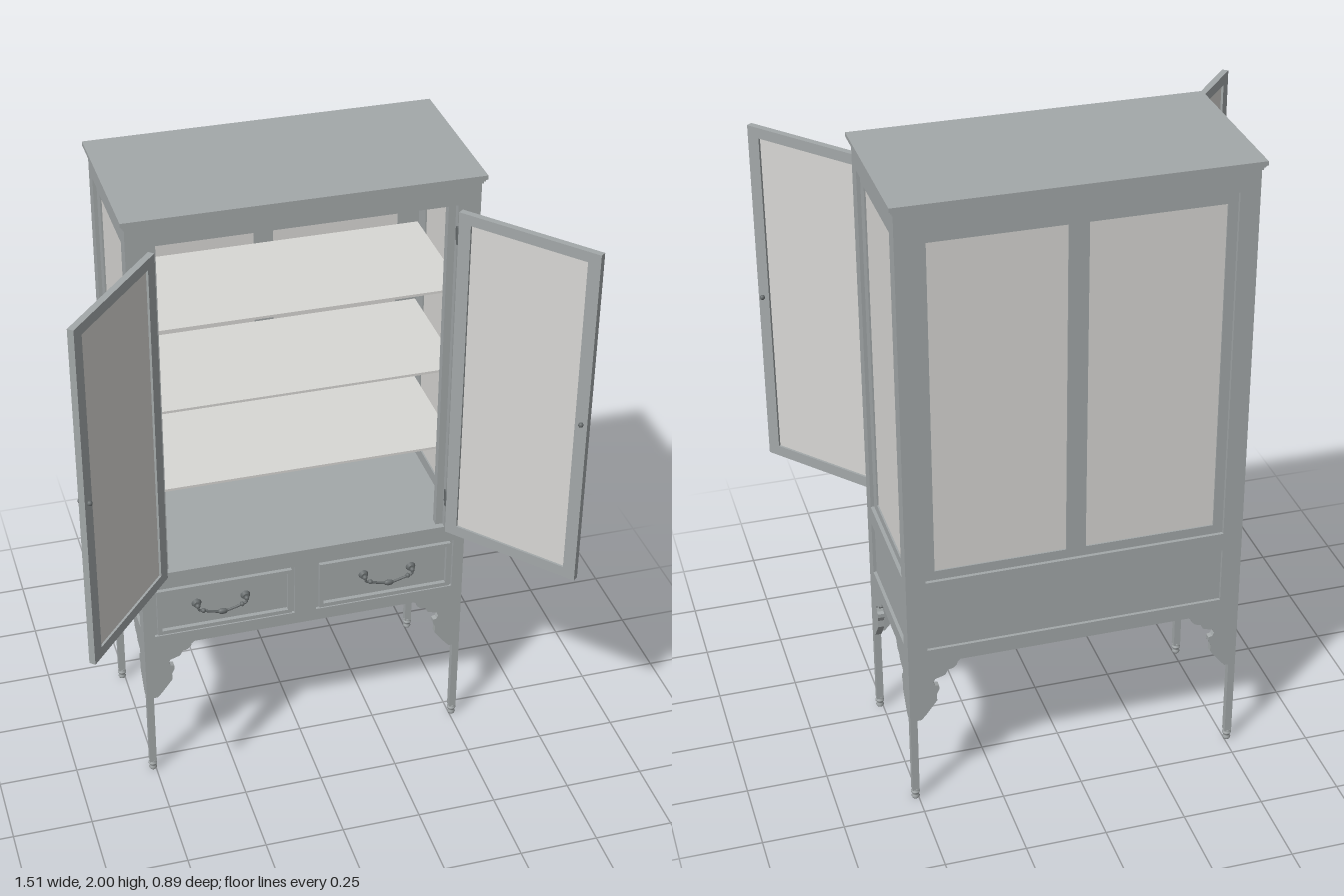
import * as THREE from 'three';

const wood = new THREE.MeshStandardMaterial({ color: 0xa3a8a9 });
wood.name = 'grey wood';
const glass = new THREE.MeshStandardMaterial({ color: 0xd8d7d4 });
glass.name = 'pale glass';
const metal = new THREE.MeshStandardMaterial({ color: 0x666b6c });
metal.name = 'dark metal';

const HX = 0.52, HZ = 0.25; // half width and half depth of the carcass

function add(parent, name, geometry, material, x = 0, y = 0, z = 0) {
  const mesh = new THREE.Mesh(geometry, material);
  mesh.name = name;
  mesh.position.set(x, y, z);
  parent.add(mesh);
  return mesh;
}

// Box given by its limits
function slab(parent, name, material, x0, x1, y0, y1, z0, z1) {
  return add(parent, name, new THREE.BoxGeometry(x1 - x0, y1 - y0, z1 - z0), material,
    (x0 + x1) / 2, (y0 + y1) / 2, (z0 + z1) / 2);
}

function rect(x0, x1, y0, y1) {
  return [[x0, y0], [x1, y0], [x1, y1], [x0, y1]].map(([x, y]) => new THREE.Vector2(x, y));
}

// Flat board with rectangular holes
function board(points, holes, depth) {
  const shape = new THREE.Shape(points);
  holes.forEach(h => shape.holes.push(new THREE.Path(rect(...h))));
  return new THREE.ExtrudeGeometry(shape, { depth, bevelEnabled: false });
}

// Scrolled bracket: distance in from the corner, height
const BRACKET = [[0.035, 0.298], [0.05, 0.315], [0.085, 0.362], [0.084, 0.385], [0.092, 0.402],
  [0.092, 0.415], [0.08, 0.418], [0.075, 0.43], [0.08, 0.442], [0.092, 0.445], [0.112, 0.452],
  [0.12, 0.468], [0.137, 0.472], [0.148, 0.482], [0.15, 0.492], [0.16, 0.5]];

// Wall outline with a bracket hanging at both lower corners
function wallOutline(half, trim) {
  const right = [[trim, 1.975], [trim, 0.298], ...BRACKET].map(([d, y]) => [half - d, y]);
  const left = right.slice().reverse().map(([x, y]) => [-x, y]);
  return [...right, ...left].map(([x, y]) => new THREE.Vector2(x, y));
}

// Framed wall facing +z, with recessed glazing
function glazedWall(name, half, trim, open, panes) {
  const wall = new THREE.Group();
  wall.name = name;
  add(wall, 'outerFrame', board(wallOutline(half, trim),
    [[-open, open, 0.79, 1.91], [-open, open, 0.55, 0.73]], 0.02), wood, 0, 0, -0.02);
  add(wall, 'innerFrame', board(rect(-open - 0.01, open + 0.01, 0.775, 1.93),
    panes.map(([a, b]) => [a, b, 0.82, 1.875]), 0.014), wood, 0, 0, -0.025);
  panes.forEach(([a, b]) => slab(wall, 'glassPane', glass, a - 0.004, b + 0.004, 0.816, 1.879, -0.02, -0.016));
  return wall;
}

// Swinging bail pull with two rosettes
function drawerPull(parent, cx) {
  const pull = new THREE.Group();
  pull.name = 'drawerPull';
  pull.position.set(cx, 0.64, HZ);
  parent.add(pull);
  for (const s of [-1, 1]) {
    add(pull, 'rosette', new THREE.CylinderGeometry(0.011, 0.016, 0.012, 12), metal, s * 0.078, 0, -0.004)
      .rotation.x = Math.PI / 2;
    add(pull, 'post', new THREE.SphereGeometry(0.008, 10, 8), metal, s * 0.078, 0, 0.008);
    add(pull, 'bailKnuckle', new THREE.SphereGeometry(0.008, 10, 8), metal, s * 0.062, -0.016, 0.013);
  }
  const curve = new THREE.CatmullRomCurve3([[-0.078, 0], [-0.076, -0.012], [-0.06, -0.018], [-0.035, -0.026], [0, -0.033],
    [0.035, -0.026], [0.06, -0.018], [0.076, -0.012], [0.078, 0]].map(([x, y]) => new THREE.Vector3(x, y, 0.012)));
  add(pull, 'bail', new THREE.TubeGeometry(curve, 32, 0.004, 6), metal);
  add(pull, 'bailDrop', new THREE.SphereGeometry(0.01, 10, 8), metal, 0, -0.032, 0.012).scale.set(1.7, 1, 0.8);
}

// Open glazed door, hinged at one side (s = 1 is the model's left)
function door(parent, s) {
  const group = new THREE.Group();
  group.name = s > 0 ? 'leftDoor' : 'rightDoor';
  group.position.set(s * 0.451, 0, 0.089);
  group.rotation.y = s > 0 ? -0.868 : Math.PI + 0.868;
  parent.add(group);
  add(group, 'doorFrame', board(rect(0, 0.455, 0.785, 1.905), [[0.04, 0.415, 0.82, 1.872]], 0.02), wood, 0, 0, -0.01);
  slab(group, 'doorGlass', glass, 0.036, 0.419, 0.816, 1.876, -0.003, 0.003);
  for (const side of [-1, 1]) {
    add(group, 'doorKnob', new THREE.SphereGeometry(0.008, 10, 8), metal, 0.437, 1.345, side * 0.015);
  }
  for (const y of [0.9, 1.82]) {
    add(parent, 'hingeBarrel', new THREE.CylinderGeometry(0.007, 0.007, 0.055, 10), metal, s * 0.451, y, 0.078);
    slab(parent, 'hingeLeaf', metal, s * 0.458 - 0.01, s * 0.458 + 0.01, y - 0.022, y + 0.022, 0.06, 0.075);
  }
}

export function createModel() {
  const model = new THREE.Group();
  model.name = 'displayCabinet';
  const body = new THREE.Group();
  body.name = 'carcass';
  body.position.z = -0.185;
  model.add(body);

  // Front frame with door and drawer openings
  add(body, 'frontFrame', board(wallOutline(HX, 0), [[-0.452, 0.452, 0.78, 1.91],
    [-0.485, -0.035, 0.542, 0.722], [0.035, 0.485, 0.542, 0.722]], 0.02), wood, 0, 0, HZ - 0.02);

  // Back and side walls
  const back = glazedWall('backWall', HX, 0, 0.46, [[-0.43, -0.03], [0.03, 0.43]]);
  back.position.z = -HZ;
  back.rotation.y = Math.PI;
  body.add(back);
  for (const s of [-1, 1]) {
    const side = glazedWall(s > 0 ? 'leftWall' : 'rightWall', HZ, 0.02, 0.198, [[-0.155, 0.155]]);
    side.position.x = s * HX;
    side.rotation.y = s * Math.PI / 2;
    body.add(side);
    slab(body, 'doorPost', wood, s * 0.465 - 0.035, s * 0.465 + 0.035, 0.78, 1.96, HZ - 0.045, HZ - 0.02);
  }

  // Drawer case, ceiling and stepped cornice
  slab(body, 'drawerCase', wood, -HX + 0.01, HX - 0.01, 0.5, 0.78, -HZ + 0.01, HZ - 0.01);
  slab(body, 'ceiling', wood, -HX + 0.02, HX - 0.02, 1.955, 1.975, -HZ + 0.02, HZ - 0.02);
  [[0.004, 1.972, 1.98], [0.008, 1.98, 1.987], [0.013, 1.987, 2]].forEach(([o, y0, y1]) =>
    slab(body, 'cornice', wood, -HX - o, HX + o, y0, y1, -HZ - o, HZ + o));

  // Glass shelves
  for (const y of [1.053, 1.33, 1.605]) {
    slab(body, 'shelf', glass, -0.494, 0.494, y - 0.004, y + 0.004, -HZ + 0.026, HZ - 0.046);
  }

  // Drawers
  for (const s of [-1, 1]) {
    const cx = s * 0.26;
    add(body, 'drawerMoulding', board(rect(cx - 0.215, cx + 0.215, 0.549, 0.715),
      [[cx - 0.202, cx + 0.202, 0.562, 0.702]], 0.014), wood, 0, 0, HZ - 0.01);
    drawerPull(body, s * 0.27);
  }

  // Legs with turned feet
  const footProfile = [[0, 0], [0.01, 0], [0.013, 0.006], [0.01, 0.012], [0.009, 0.016],
    [0.014, 0.022], [0.014, 0.026], [0.009, 0.031], [0.012, 0.037], [0, 0.037]]
    .map(([r, y]) => new THREE.Vector2(r, y));
  for (const sx of [-1, 1]) for (const sz of [-1, 1]) {
    const x = sx * (HX - 0.011), z = sz * (HZ - 0.011);
    slab(body, 'leg', wood, x - 0.011, x + 0.011, 0.033, 0.5, z - 0.011, z + 0.011);
    add(body, 'foot', new THREE.LatheGeometry(footProfile, 16), wood, x, 0, z);
  }

  door(model, 1);
  door(model, -1);
  return model;
}
